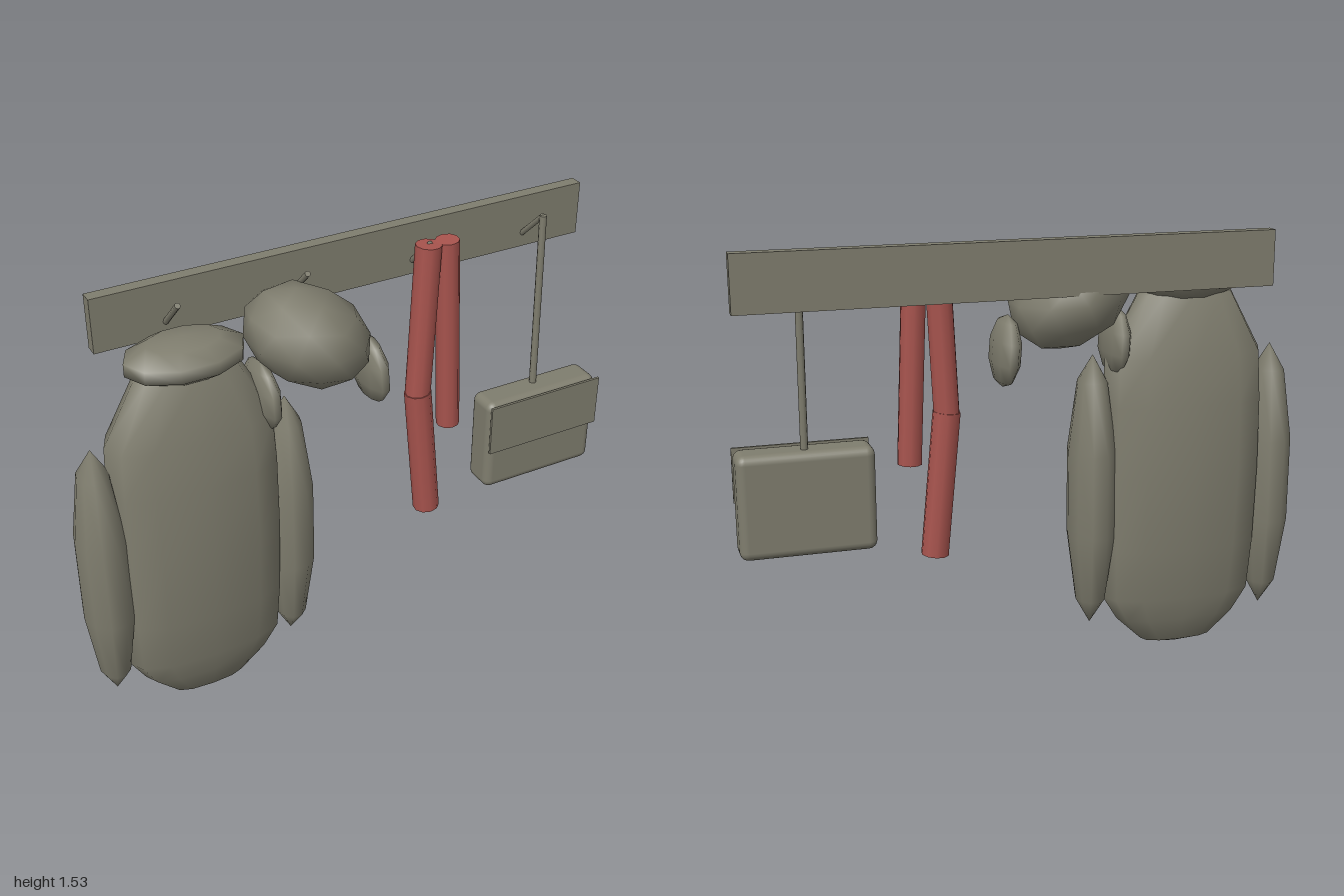
import * as THREE from 'three';
import { mergeVertices } from 'three/addons/utils/BufferGeometryUtils.js';
import { RoundedBoxGeometry } from 'three/addons/geometries/RoundedBoxGeometry.js';

export function createModel() {
  const model = new THREE.Group();
  const grey = new THREE.MeshStandardMaterial({ color: 0x7f7d6e });
  grey.name = 'olive grey';
  const red = new THREE.MeshStandardMaterial({ color: 0xa8544e });
  red.name = 'dull red';

  const add = (name, geometry, x = 0, y = 0, z = 0, material = grey) => {
    const mesh = new THREE.Mesh(geometry, material);
    mesh.name = name;
    mesh.position.set(x, y, z);
    model.add(mesh);
    return mesh;
  };

  // Cylinder between two points
  const rod = (name, from, to, radius, sides, material = grey) => {
    const a = new THREE.Vector3(...from), b = new THREE.Vector3(...to);
    const mid = a.clone().add(b).multiplyScalar(0.5);
    const mesh = add(name, new THREE.CylinderGeometry(radius, radius, a.distanceTo(b), sides),
      mid.x, mid.y, mid.z, material);
    mesh.quaternion.setFromUnitVectors(new THREE.Vector3(0, 1, 0), b.sub(a).normalize());
  };

  // Coarse smooth ellipsoid with given half sizes
  const blob = (name, x, y, z, rx, ry, rz, tilt = 0) => {
    const g = new THREE.SphereGeometry(1, 10, 5).scale(rx * 1.04, ry, rz * 1.04).rotateZ(tilt);
    return add(name, g, x, y, z);
  };

  // Skin over rounded cross-sections [y, half width, half depth]
  const loft = (rings, sides) => {
    const pos = [], index = [];
    const soft = (v) => Math.sign(v) * Math.abs(v) ** 0.8;
    rings.forEach(([y, rx, rz], r) => {
      for (let i = 0; i < sides; i++) {
        const t = (i / sides) * Math.PI * 2;
        pos.push(rx * soft(Math.cos(t)), y, rz * soft(Math.sin(t)));
        if (r === rings.length - 1) continue;
        const a = r * sides + i, b = r * sides + (i + 1) % sides;
        index.push(a, a + sides, b, b, a + sides, b + sides);
      }
    });
    const g = new THREE.BufferGeometry();
    g.setAttribute('position', new THREE.Float32BufferAttribute(pos, 3));
    g.setIndex(index);
    g.computeVertexNormals();
    return g;
  };

  // Wall board and four slanted pegs
  add('board', new THREE.BoxGeometry(1.815, 0.19, 0.045), 0.088, 1.445, -0.17);
  for (const x of [-0.575, -0.13, 0.32, 0.765])
    rod('peg', [x, 1.4, -0.15], [x, 1.51, -0.037], 0.01, 8);

  // Hanging coat
  const coatX = -0.578;
  add('coatBody', loft([
    [0.005, 0.001, 0.001], [0.03, 0.135, 0.05], [0.12, 0.23, 0.08], [0.21, 0.285, 0.105],
    [0.4, 0.295, 0.13], [0.68, 0.298, 0.147], [0.93, 0.298, 0.138], [1.1, 0.29, 0.12],
    [1.31, 0.175, 0.08], [1.39, 0.001, 0.001],
  ], 12), coatX);
  for (const s of [-1, 1])
    blob('coatSleeve', coatX + s * 0.335, 0.615, 0, 0.086, 0.495, 0.108);
  blob('coatCollar', coatX, 1.357, 0, 0.203, 0.071, 0.133);

  // Cap with two ear flaps
  const crown = new THREE.IcosahedronGeometry(1, 1);
  crown.deleteAttribute('uv');
  crown.deleteAttribute('normal');
  const cap = mergeVertices(crown, 1e-3).scale(0.222, 0.163, 0.212).rotateZ(-0.5);
  cap.computeVertexNormals();
  add('capCrown', cap, -0.155, 1.315, 0);
  blob('earFlap', -0.325, 1.152, 0.01, 0.041, 0.12, 0.122, 0.05);
  blob('earFlap', 0.068, 1.14, 0.01, 0.045, 0.125, 0.122, 0.08);

  // Scarf folded over its peg: a long bent end and a short straight end
  rod('scarfLongUpper', [0.313, 1.51, -0.035], [0.285, 0.945, -0.03], 0.045, 10, red);
  rod('scarfLongLower', [0.285, 0.955, -0.03], [0.333, 0.452, -0.027], 0.048, 10, red);
  rod('scarfShort', [0.386, 1.51, -0.037], [0.417, 0.785, -0.035], 0.042, 10, red);

  // Shoulder bag
  rod('bagStrap', [0.765, 1.512, -0.035], [0.765, 0.85, -0.018], 0.013, 8);
  add('bagBody', new RoundedBoxGeometry(0.46, 0.36, 0.126, 3, 0.03), 0.765, 0.682, -0.005);
  add('bagFlap', new THREE.BoxGeometry(0.46, 0.19, 0.009), 0.765, 0.765, 0.069);

  return model;
}
